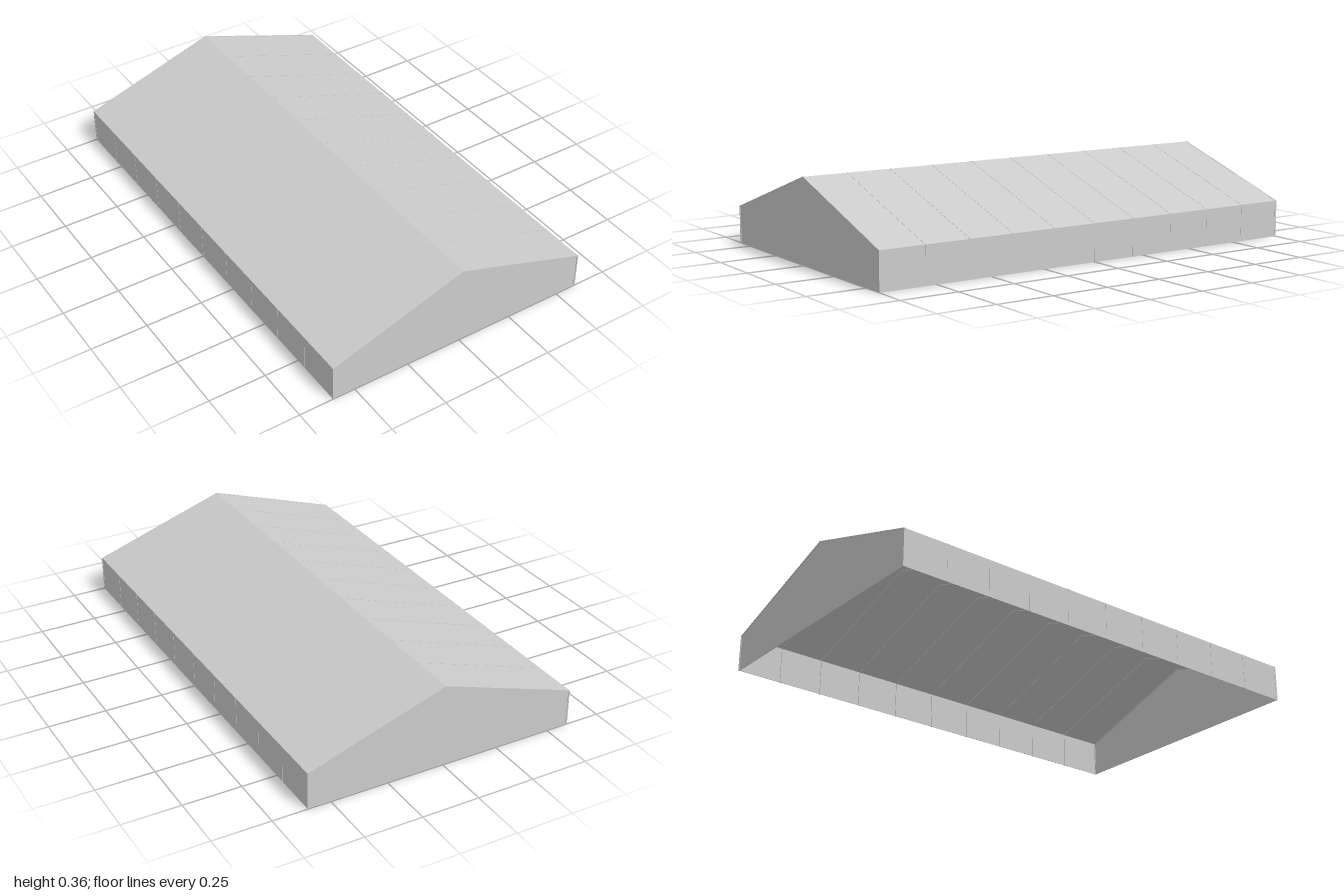
import * as THREE from 'three';

const HALF_WIDTH = 0.6, RIDGE = 0.36, SLOPE = 1 / 3, BAYS = 10, FRAME = 0.008;

// Outline of the hall, moved inwards by d, from right foot over the ridge to left foot
function outline(d) {
  const x = HALF_WIDTH - d;
  const top = RIDGE - d * Math.hypot(1, SLOPE);
  const eave = top - x * SLOPE;
  return [[x, 0], [x, eave], [0, top], [-x, eave], [-x, 0]].map(p => new THREE.Vector2(...p));
}

// Open arch between two insets
function archShape(outer, inner) {
  return new THREE.Shape([...outline(outer), ...outline(inner).reverse()]);
}

function extrude(shape, depth) {
  const g = new THREE.ExtrudeGeometry(shape, { depth, bevelEnabled: false });
  g.translate(0, 0, -depth / 2);
  return g;
}

export function createModel() {
  const model = new THREE.Group();
  model.name = 'marqueeHall';
  const material = new THREE.MeshStandardMaterial({
    color: 0xcccccc, flatShading: true, side: THREE.DoubleSide,
  });
  const add = (name, geometry, z) => {
    const mesh = new THREE.Mesh(geometry, material);
    mesh.name = name;
    mesh.position.z = z;
    model.add(mesh);
  };

  // Portal frames, one at each bay line
  const frame = extrude(archShape(0, 0.006), FRAME);
  const reach = 1 - FRAME / 2;
  const pitch = 2 * reach / BAYS;
  for (let i = 0; i <= BAYS; i++) add('portalFrame' + (i + 1), frame, -reach + i * pitch);

  // Wall and roof covering stretched between the frames
  const cover = extrude(archShape(0.001, 0.003), pitch - FRAME);
  for (let i = 0; i < BAYS; i++) add('bayCover' + (i + 1), cover, -reach + (i + 0.5) * pitch);

  // Closed gable walls inside the end frames
  const gable = extrude(new THREE.Shape(outline(0.006)), 0.003);
  add('frontGable', gable, reach);
  add('backGable', gable, -reach);

  return model;
}
